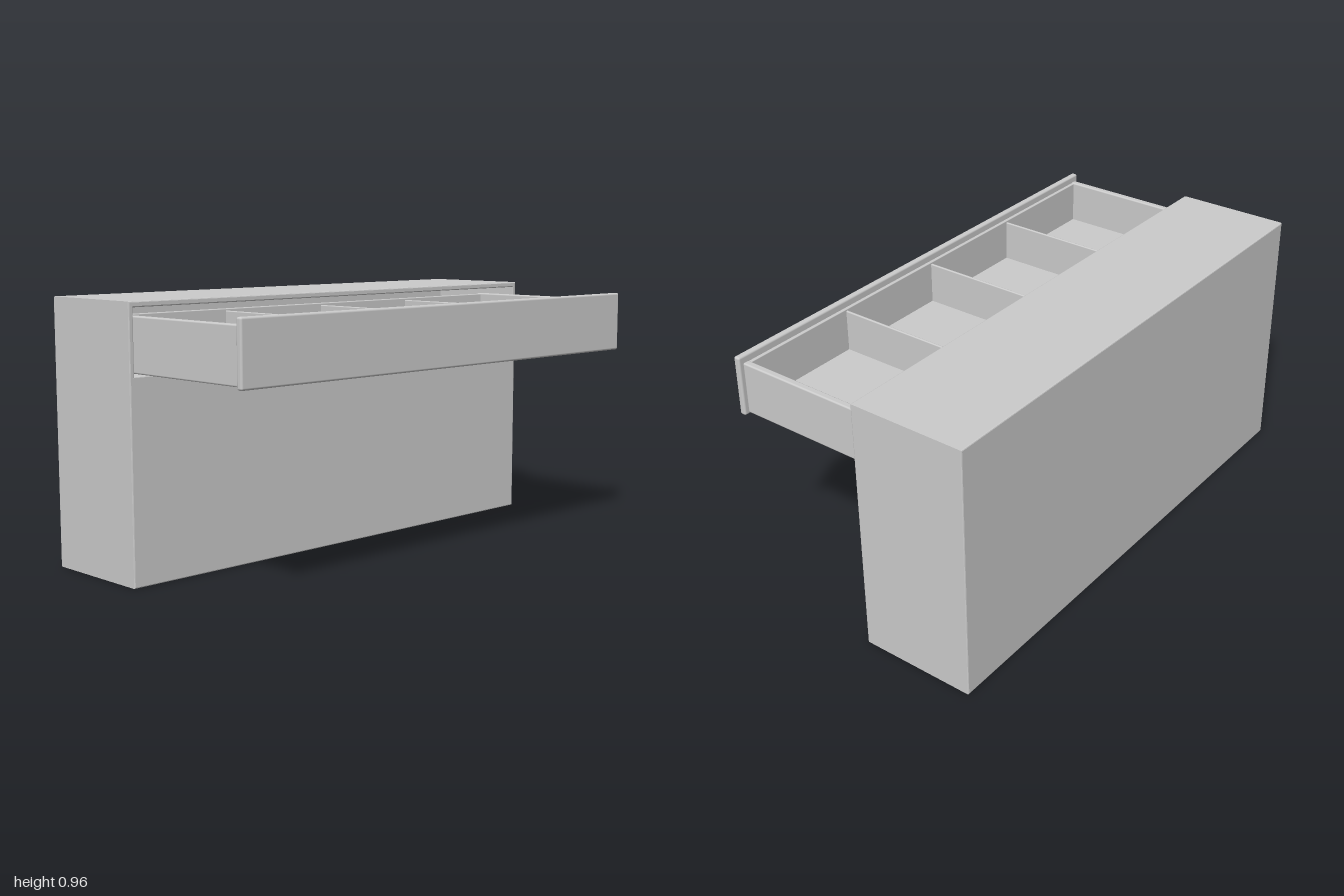
import * as THREE from 'three';
import { RoundedBoxGeometry } from 'three/addons/geometries/RoundedBoxGeometry.js';

const material = new THREE.MeshStandardMaterial({ color: 0xcccccc });

// Softly rounded board given by its limits on each axis
function board(name, [x0, x1], [y0, y1], [z0, z1], radius = 0.003) {
  const geometry = new RoundedBoxGeometry(x1 - x0, y1 - y0, z1 - z0, 2, radius);
  const mesh = new THREE.Mesh(geometry, material);
  mesh.position.set((x0 + x1) / 2, (y0 + y1) / 2, (z0 + z1) / 2);
  mesh.name = name;
  return mesh;
}

function rectangle(Type, x0, x1, y0, y1) {
  const path = new Type();
  path.moveTo(x0, y0);
  path.lineTo(x1, y0);
  path.lineTo(x1, y1);
  path.lineTo(x0, y1);
  path.closePath();
  return path;
}

// Full-size cabinet slab between two depths, with eased edges
function slab(name, z0, z1, holes = []) {
  const outline = rectangle(THREE.Shape, -1, 1, 0, 0.965);
  outline.holes.push(...holes);
  const bevel = 0.004;
  const geometry = new THREE.ExtrudeGeometry(outline, {
    depth: z1 - z0 - 2 * bevel,
    bevelThickness: bevel,
    bevelSize: bevel,
    bevelOffset: -bevel,
    bevelSegments: 2,
  });
  geometry.translate(0, 0, z0 + bevel);
  const mesh = new THREE.Mesh(geometry, material);
  mesh.name = name;
  return mesh;
}

function createCabinet() {
  const cabinet = new THREE.Group();
  cabinet.name = 'cabinet';
  // Body with the drawer opening, closed by a back board
  const opening = rectangle(THREE.Path, -0.982, 0.982, 0.716, 0.945);
  cabinet.add(slab('cabinetBody', -0.475, -0.05, [opening]), slab('cabinetBack', -0.493, -0.46));
  return cabinet;
}

function createDrawer() {
  const drawer = new THREE.Group();
  drawer.name = 'drawer';
  const back = -0.21, front = 0.47;

  drawer.add(
    board('drawerFront', [-0.98, 0.98], [0.715, 0.94], [0.468, 0.493], 0.008),
    board('drawerInnerFront', [-0.95, 0.95], [0.722, 0.912], [0.456, front]),
    board('drawerBack', [-0.95, 0.95], [0.722, 0.912], [back, back + 0.02]),
    // Bottom set slightly above the lower edge of the sides
    board('drawerBottom', [-0.95, 0.95], [0.735, 0.75], [back + 0.01, 0.46]),
  );
  for (const side of [-1, 1]) {
    const x = side * 0.95;
    drawer.add(board('drawerSide', [x - 0.013, x + 0.013], [0.722, 0.915], [back, front], 0.006));
  }
  // Dividers making four compartments
  for (const x of [-0.47, 0, 0.47]) {
    drawer.add(board('divider', [x - 0.005, x + 0.005], [0.74, 0.905], [back + 0.01, 0.46], 0.004));
  }
  return drawer;
}

export function createModel() {
  const model = new THREE.Group();
  model.name = 'cabinetWithOpenDrawer';
  model.add(createCabinet(), createDrawer());
  return model;
}
